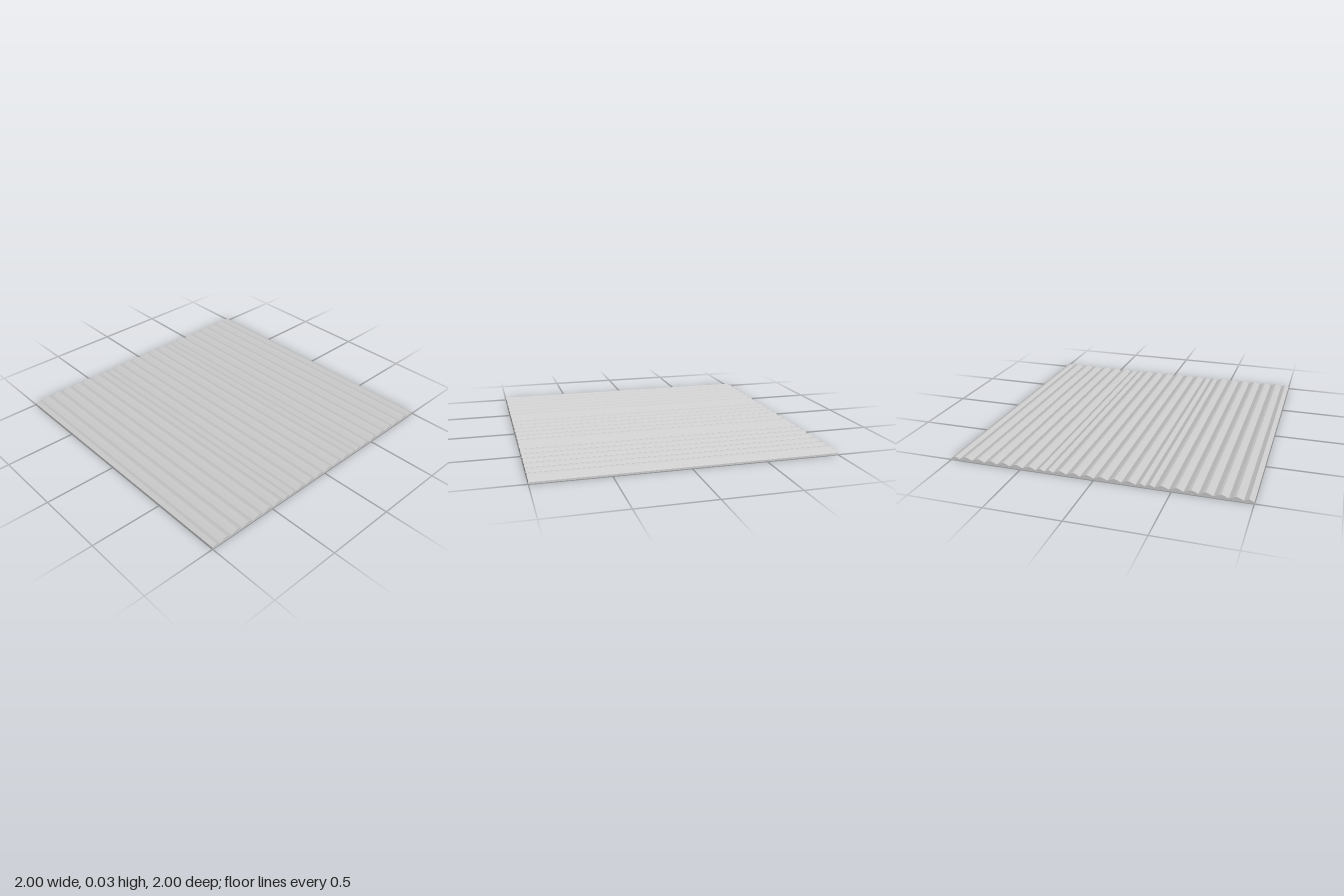
import * as THREE from 'three';

const STEP = 2 / 66;      // half the width of a narrow ridge
const VALLEY = 0.012, SHOULDER = 0.026, CREST = 0.03;

export function createModel() {
  const group = new THREE.Group();
  group.name = 'corrugatedPanel';

  // Ridge pattern across the sheet: N is narrow and pointed, W is wide and rounded
  const wide = 'W'.repeat(6);
  const pattern = 'N' + wide + 'NN' + wide + 'NN' + wide + 'N';

  // Cross-section, traced along the ridges and closed by a flat underside
  const shape = new THREE.Shape();
  let x = -1;
  shape.moveTo(-1, 0);
  shape.lineTo(-1, VALLEY);
  for (const ridge of pattern) {
    shape.lineTo(x + STEP, SHOULDER);
    if (ridge === 'W') {
      shape.lineTo(x + 1.5 * STEP, CREST);
      shape.lineTo(x + 2 * STEP, SHOULDER);
    }
    x += (ridge === 'W' ? 3 : 2) * STEP;
    shape.lineTo(x, VALLEY);
  }
  shape.lineTo(1, 0);
  shape.closePath();

  // Ridges run from front to back
  const geometry = new THREE.ExtrudeGeometry(shape, { depth: 2, bevelEnabled: false });
  geometry.translate(0, 0, -1);
  const material = new THREE.MeshStandardMaterial({ color: 0xcccccc, flatShading: true });
  const sheet = new THREE.Mesh(geometry, material);
  sheet.name = 'ridgedSheet';
  group.add(sheet);
  return group;
}
